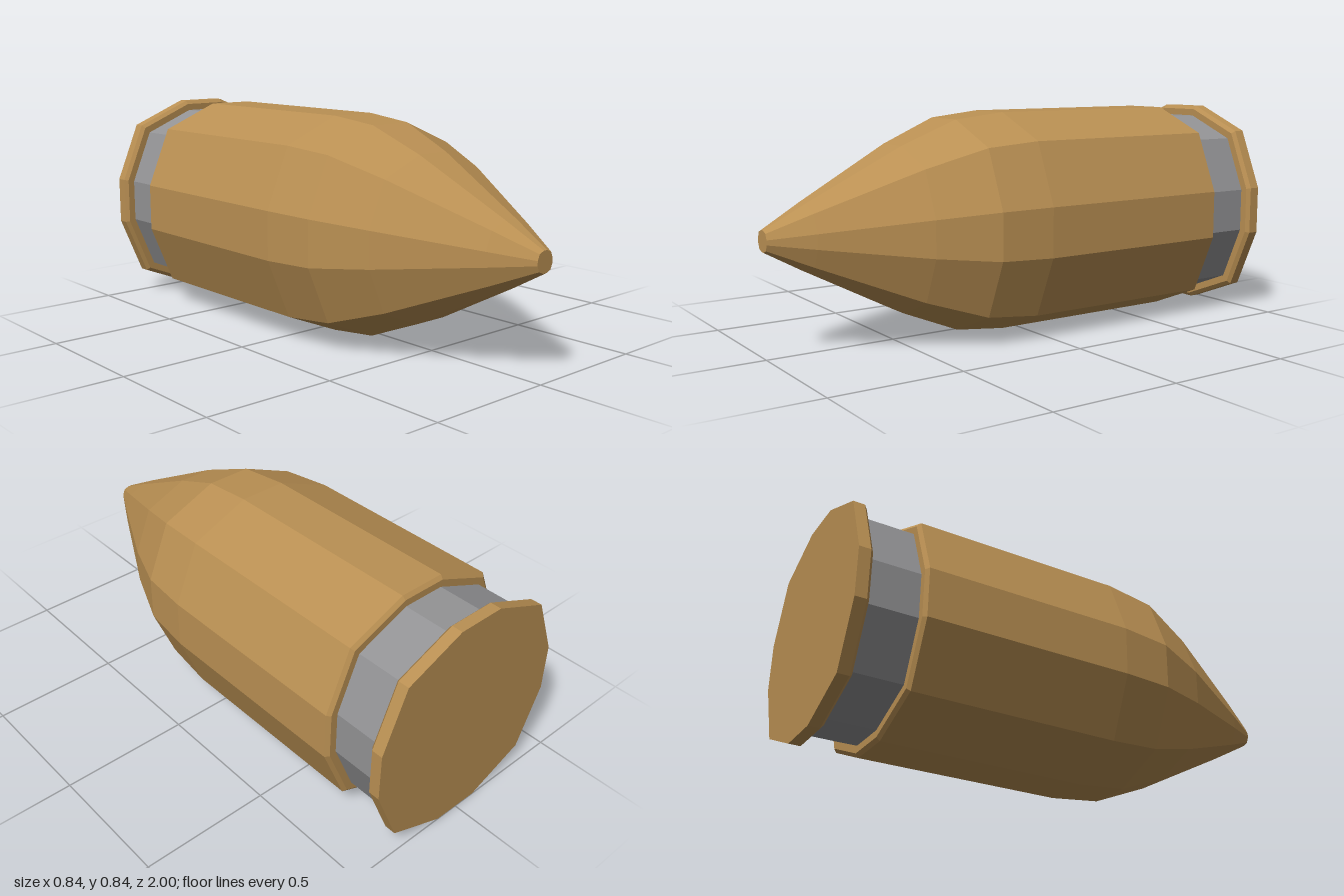
import * as THREE from 'three';

const CENTER_Y = 0.422;

// Twelve-sided outline: a square with each corner cut twice, half-width 1
const quarter = [[1, 0.221], [0.771, 0.771], [0.221, 1]];
const outline = [];
for (let q = 0; q < 4; q++) {
  const c = Math.round(Math.cos(q * Math.PI / 2));
  const s = Math.round(Math.sin(q * Math.PI / 2));
  for (const [x, y] of quarter) outline.push([x * c - y * s, x * s + y * c]);
}

// Joins rings of [z, halfWidth], listed back to front; zero-width ends close the shape
function loft(rings) {
  const n = outline.length;
  const positions = [];
  const point = ([z, r], i) => [outline[i % n][0] * r, outline[i % n][1] * r, z];
  for (let k = 0; k < rings.length - 1; k++) {
    const back = rings[k], front = rings[k + 1];
    for (let i = 0; i < n; i++) {
      const a = point(back, i), b = point(back, i + 1);
      const c = point(front, i + 1), d = point(front, i);
      if (back[1] > 0) positions.push(...a, ...b, ...(front[1] > 0 ? c : d));
      if (front[1] > 0) positions.push(...a, ...c, ...d);
    }
  }
  const geometry = new THREE.BufferGeometry();
  geometry.setAttribute('position', new THREE.Float32BufferAttribute(positions, 3));
  geometry.computeVertexNormals();
  return geometry;
}

export function createModel() {
  const brass = new THREE.MeshStandardMaterial({ color: 0xba9053, flatShading: true });
  brass.name = 'brass';
  const steel = new THREE.MeshStandardMaterial({ color: 0x939395, flatShading: true });
  steel.name = 'steel grey';

  const group = new THREE.Group();
  group.name = 'cartridge';
  const add = (name, material, rings) => {
    const mesh = new THREE.Mesh(loft(rings), material);
    mesh.name = name;
    mesh.position.y = CENTER_Y;
    group.add(mesh);
  };

  // Casing and tapered nose, with a small flat tip
  add('casingAndNose', brass, [
    [-0.757, 0], [-0.757, 0.408], [-0.745, 0.422], [0.065, 0.422],
    [0.27, 0.4], [0.49, 0.31], [0.85, 0.122], [1, 0.039], [1, 0],
  ]);
  // Recessed band between casing and rim
  add('grooveBand', steel, [[-0.947, 0.381], [-0.757, 0.381]]);
  // Base rim, bevelled on its inner edge
  add('baseRim', brass, [
    [-1, 0], [-1, 0.422], [-0.957, 0.422], [-0.945, 0.408], [-0.945, 0],
  ]);
  return group;
}
